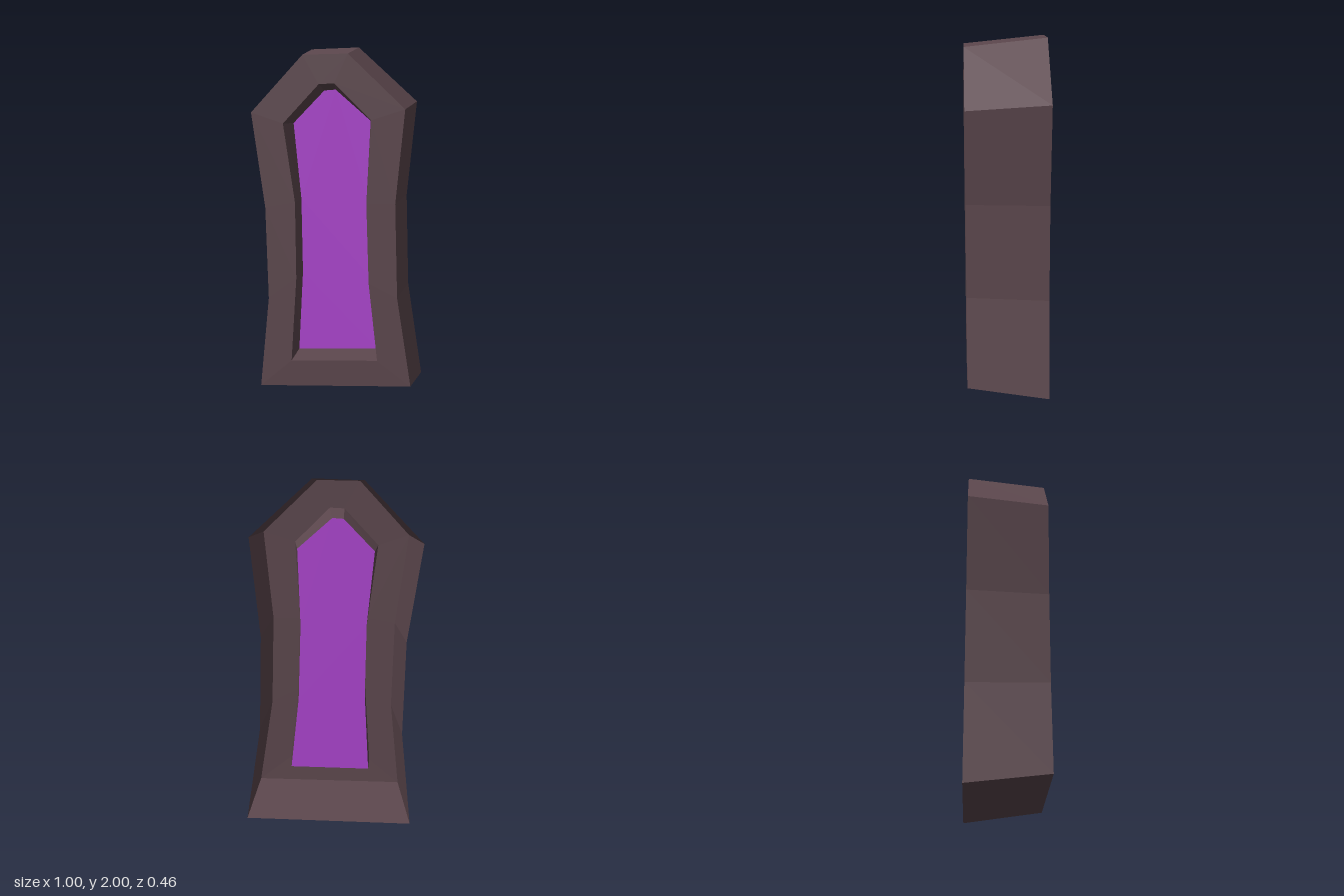
import * as THREE from 'three';

// Outlines run counter-clockwise from the lower left corner, seen from the front.
const backOutline = [[-0.455, 0], [0.495, 0.035], [0.41, 0.59], [0.395, 1.13], [0.45, 1.685],
  [0.105, 2], [-0.175, 1.99], [-0.5, 1.65], [-0.415, 1.1], [-0.4, 0.56]];
const frontOutline = [[-0.41, 0.065], [0.45, 0.09], [0.37, 0.6], [0.355, 1.13], [0.405, 1.65],
  [0.09, 1.95], [-0.16, 1.945], [-0.45, 1.63], [-0.375, 1.1], [-0.36, 0.58]];
const openingOutline = [[-0.23, 0.22], [0.26, 0.235], [0.21, 0.68], [0.195, 1.13], [0.22, 1.59],
  [0.015, 1.79], [-0.07, 1.785], [-0.27, 1.57], [-0.205, 1.13], [-0.2, 0.7]];
const paneOutline = [[-0.217, 0.235], [0.247, 0.25], [0.2, 0.68], [0.185, 1.13], [0.2, 1.58],
  [0, 1.755], [-0.065, 1.75], [-0.243, 1.565], [-0.2, 1.13], [-0.193, 0.7]];

const BACK = -0.232, FRONT = 0.226, LIP = 0.23, PANE = 0.035;

// Flat-shaded band of quads between two outlines at different depths
function band(a, za, b, zb) {
  const pos = [];
  for (let i = 0; i < a.length; i++) {
    const j = (i + 1) % a.length;
    const p = [...a[i], za], q = [...a[j], za], r = [...b[j], zb], s = [...b[i], zb];
    pos.push(...p, ...q, ...r, ...p, ...r, ...s);
  }
  const g = new THREE.BufferGeometry();
  g.setAttribute('position', new THREE.Float32BufferAttribute(pos, 3));
  g.computeVertexNormals();
  return g;
}

export function createModel() {
  const stone = new THREE.MeshStandardMaterial({ color: 0x5c474d, side: THREE.DoubleSide });
  stone.name = 'dark brown frame';
  const glass = new THREE.MeshStandardMaterial({ color: 0xaa44cc, side: THREE.DoubleSide });
  glass.name = 'purple glass';

  const group = new THREE.Group();
  group.name = 'window';
  const add = (name, geometry, material) => {
    const mesh = new THREE.Mesh(geometry, material);
    mesh.name = name;
    group.add(mesh);
    return mesh;
  };

  // Hollow frame, open at the back
  add('frameSides', band(backOutline, BACK, frontOutline, FRONT), stone);
  add('frameFace', band(frontOutline, FRONT, openingOutline, LIP), stone);
  add('frameRecess', band(openingOutline, LIP, paneOutline, PANE), stone);

  // Pane closing the recess
  const shape = new THREE.Shape(paneOutline.map(([x, y]) => new THREE.Vector2(x, y)));
  add('pane', new THREE.ShapeGeometry(shape), glass).position.z = PANE;

  return group;
}
